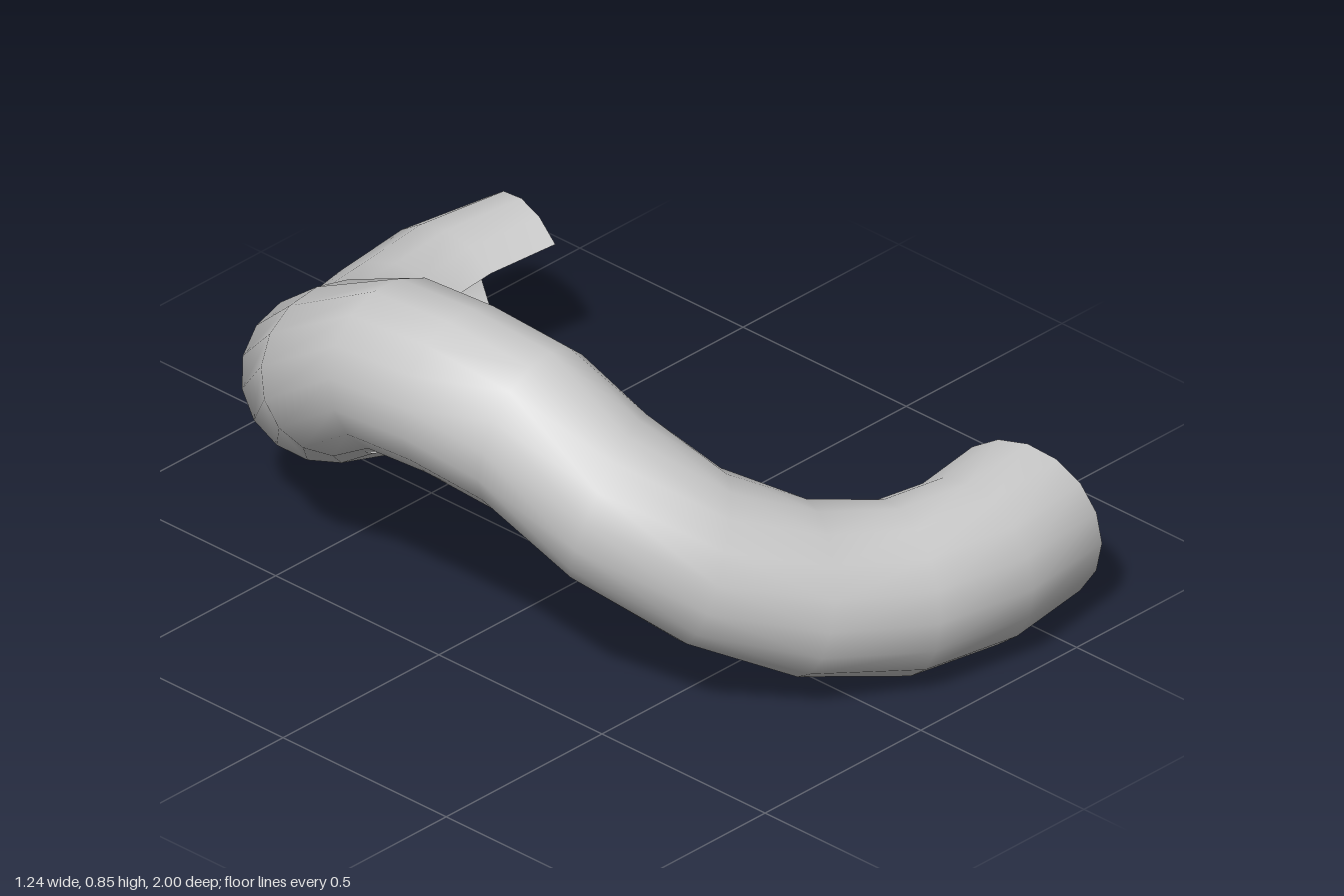
import * as THREE from 'three';

const V = (p) => new THREE.Vector3(...p);
const RADIUS = 0.2;
const SIDES = 12;
const SWEEP = THREE.MathUtils.degToRad(262); // the rest of the circle is the open slit
const PITCH = 0.5; // the rings lean only half as much as the path climbs

// Half of the path, from the crest to one end: [ring centre, offset to the upper lip of the slit]
const HALF = [
  [[-0.425, 0.65, 0], [0.2, -0.02, 0]],
  [[-0.412, 0.628, 0.205], [0.19, -0.013, -0.035]],
  [[-0.378, 0.522, 0.405], [0.178, 0.053, -0.075]],
  [[-0.25, 0.38, 0.57], [0.12, 0.12, -0.105]],
  [[-0.052, 0.26, 0.68], [0.052, 0.155, -0.11]],
  [[0.158, 0.206, 0.77], [0.042, 0.15, -0.135]],
  [[0.36, 0.2, 0.8], [0, 0.145, -0.138]],
  [[0.575, 0.2, 0.766], [-0.03, 0.15, -0.126]],
  [[0.76, 0.2, 0.7], [0, 0, 0]], // only sets the direction of the last ring
];

function buildShell() {
  const flip = ([x, y, z]) => [x, y, -z];
  const path = [...HALF.slice(1).reverse().map(([c, e]) => [flip(c), flip(e)]), ...HALF];
  const positions = [];
  const index = [];

  // One open ring per path point, swept from the upper lip over the outside to the lower lip
  for (let i = 1; i < path.length - 1; i++) {
    const centre = V(path[i][0]);
    const tangent = V(path[i + 1][0]).sub(V(path[i - 1][0]));
    tangent.y *= PITCH;
    tangent.normalize();
    const lip = V(path[i][1]).projectOnPlane(tangent).setLength(RADIUS);
    for (let j = 0; j <= SIDES; j++) {
      const p = lip.clone().applyAxisAngle(tangent, (SWEEP * j) / SIDES).add(centre);
      positions.push(p.x, p.y, p.z);
    }
  }

  // Join neighbouring rings, facing outward
  const row = SIDES + 1;
  for (let i = 0; i < path.length - 3; i++) {
    for (let j = 0; j < SIDES; j++) {
      const a = i * row + j;
      const b = a + row;
      index.push(a, a + 1, b, b, a + 1, b + 1);
    }
  }

  const geometry = new THREE.BufferGeometry();
  geometry.setAttribute('position', new THREE.Float32BufferAttribute(positions, 3));
  geometry.setIndex(index);
  geometry.computeVertexNormals();
  return geometry;
}

export function createModel() {
  const group = new THREE.Group();
  group.name = 'curvedOpenTube';
  const material = new THREE.MeshStandardMaterial({ color: 0xcccccc, side: THREE.DoubleSide });
  const shell = new THREE.Mesh(buildShell(), material);
  shell.name = 'tubeShell';
  group.add(shell);
  return group;
}
